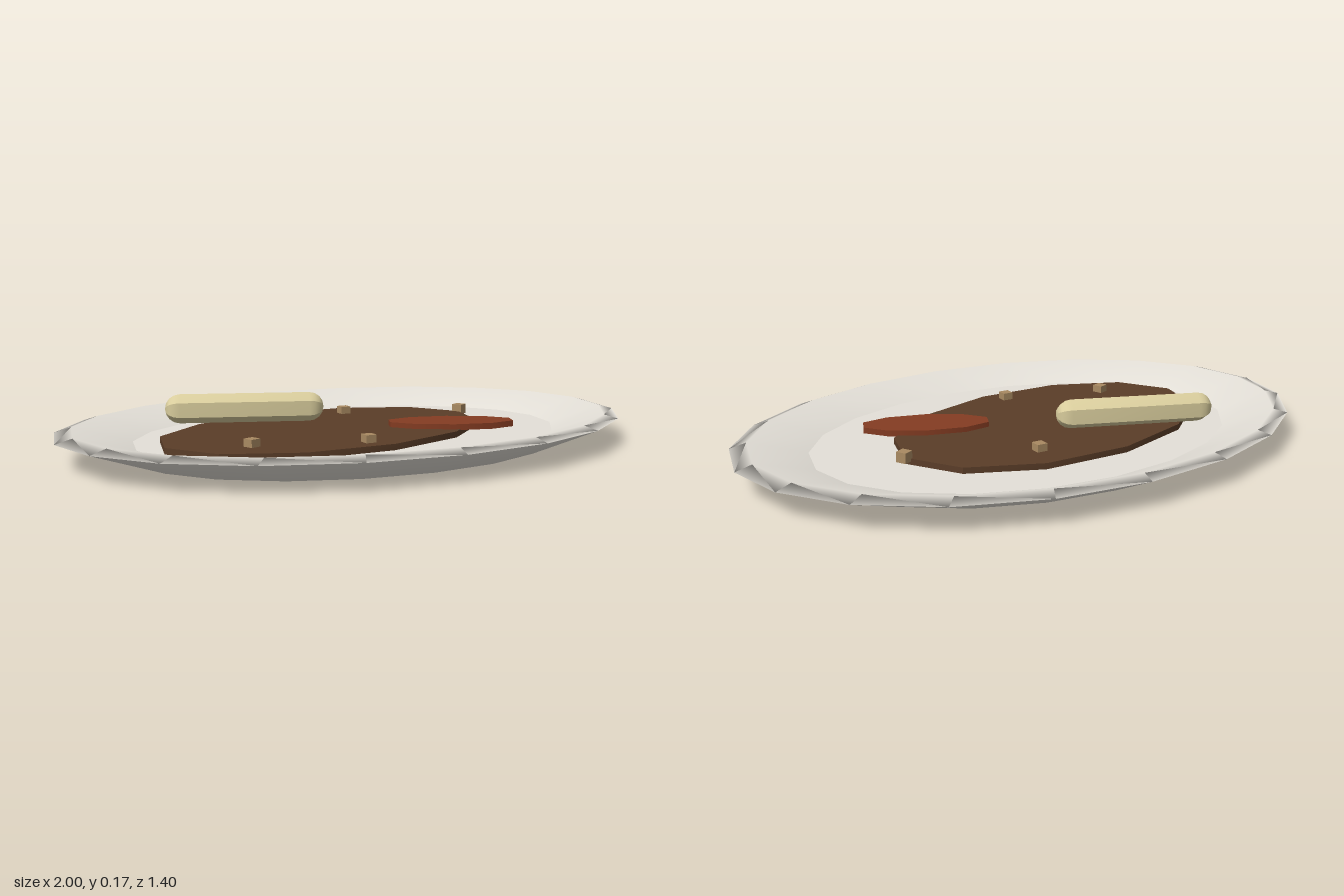
import * as THREE from 'three';
import { toCreasedNormals } from 'three/addons/utils/BufferGeometryUtils.js';

function part(name, geometry, color, x = 0, y = 0, z = 0, turn = 0) {
  const mesh = new THREE.Mesh(geometry, new THREE.MeshStandardMaterial({ color }));
  mesh.name = name;
  mesh.position.set(x, y, z);
  mesh.rotation.y = turn;
  return mesh;
}

// Thin faceted oval slab
function oval(rx, rz, height, sides) {
  const geometry = new THREE.CylinderGeometry(1, 1, height, sides);
  geometry.scale(rx, 1, rz);
  return toCreasedNormals(geometry, 0.4);
}

// Oval lathe, 20 sides
function ovalLathe(points) {
  const geometry = new THREE.LatheGeometry(points.map(([r, y]) => new THREE.Vector2(r, y)), 20);
  geometry.scale(1, 1, 0.7);
  return geometry;
}

export function createModel() {
  const model = new THREE.Group();
  model.name = 'plateOfFood';
  const china = 0xe4e0d8;

  // Plate: underside, flared side, narrow lip and inner slope
  const plate = part('plate', ovalLathe([[0, 0], [0.75, 0], [1, 0.085], [0.945, 0.1], [0.75, 0.045]]), china);
  const floor = part('plateFloor', ovalLathe([[0.75, 0.045], [0, 0.045]]), china);
  model.add(plate, floor);

  // Sauce pool and red slice
  model.add(part('sauce', oval(0.6, 0.37, 0.022, 12), 0x5a3d28, -0.1, 0.054, 0, 0.16));
  model.add(part('redSlice', oval(0.22, 0.09, 0.02, 10), 0x843c22, 0.3, 0.072, 0.15, -0.4));

  // Six-sided stick with rounded ends, one ridge on top
  const stick = new THREE.CapsuleGeometry(0.05, 0.44, 4, 6);
  stick.rotateZ(Math.PI / 2);
  model.add(part('stick', toCreasedNormals(stick, 0.6), 0xd8cc9c, -0.305, 0.12, -0.205, -0.36));

  // Crumbs
  const crumbs = [[0.1, -0.25, 0], [0.5, -0.1, 0.5], [-0.1, 0.3, 0], [-0.45, 0.2, 0.35]];
  for (const [x, z, turn] of crumbs) {
    model.add(part('crumb', new THREE.BoxGeometry(0.036, 0.034, 0.036), 0xa98a62, x, 0.073, z, turn));
  }
  return model;
}
